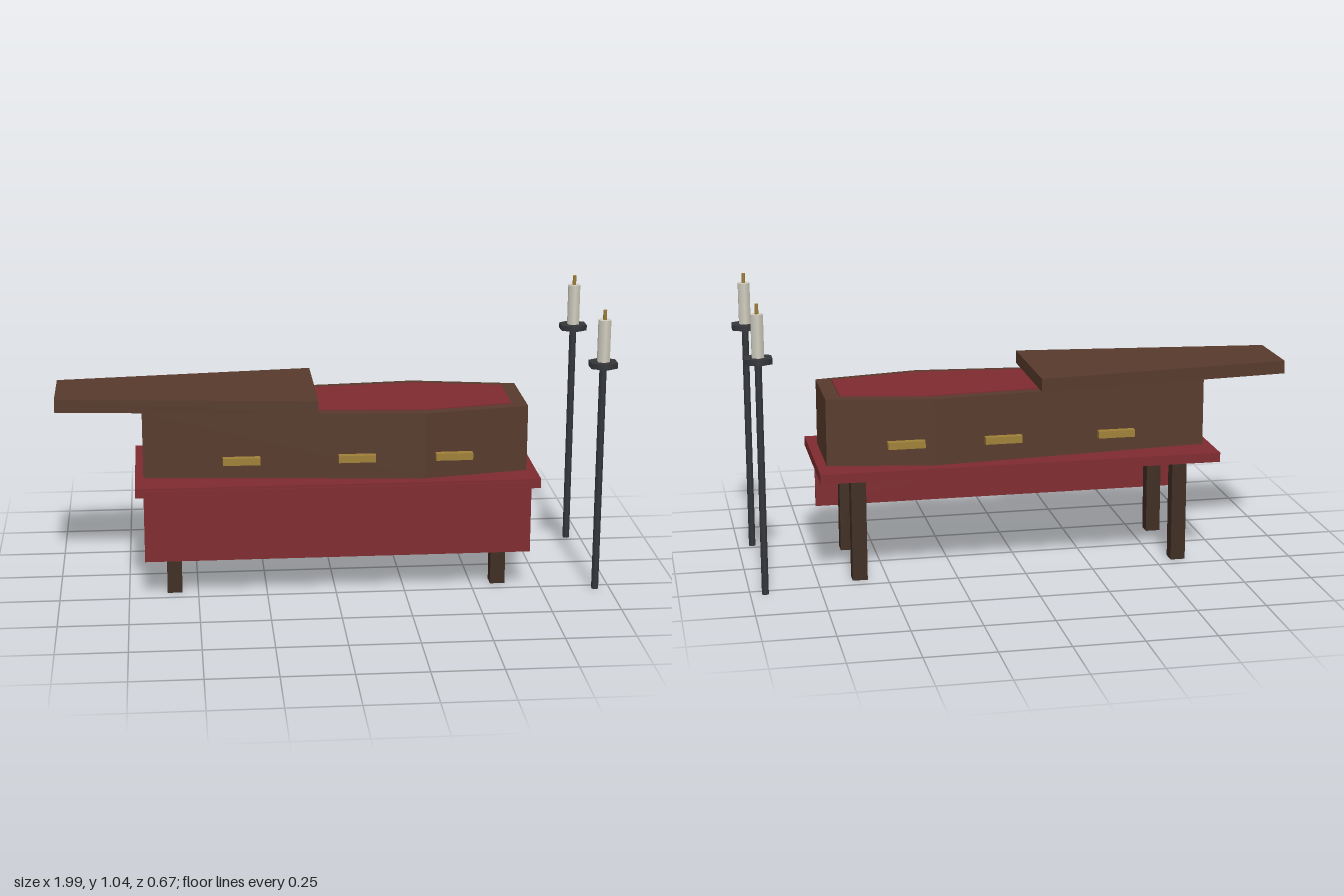
import * as THREE from 'three';

export function createModel() {
  const model = new THREE.Group();
  model.name = 'coffinOnTable';

  const mat = (name, color) => {
    const m = new THREE.MeshStandardMaterial({ color });
    m.name = name;
    return m;
  };
  const wood = mat('coffinWood', 0x573a2c);
  const darkWood = mat('darkWood', 0x3f2d22);
  const red = mat('redCloth', 0x7f2b2f);
  const iron = mat('blackIron', 0x34363b);
  const brass = mat('brass', 0xa08038);
  const wax = mat('wax', 0xd2cec0);

  const add = (name, geometry, material, parent = model) => {
    const mesh = new THREE.Mesh(geometry, material);
    mesh.name = name;
    parent.add(mesh);
    return mesh;
  };

  // Box given by its low and high limits on each axis
  const box = (name, material, [x0, x1], [y0, y1], [z0, z1]) =>
    add(name, new THREE.BoxGeometry(x1 - x0, y1 - y0, z1 - z0), material)
      .position.set((x0 + x1) / 2, (y0 + y1) / 2, (z0 + z1) / 2);

  // Upright slab from a half outline of [x, halfWidth], mirrored in z
  const slab = (name, material, half, y0, y1) => {
    const outline = [...half, ...half.map(([x, z]) => [x, -z]).reverse()];
    const shape = new THREE.Shape(outline.map(([x, z]) => new THREE.Vector2(x, z)));
    const geometry = new THREE.ExtrudeGeometry(shape, { depth: y1 - y0, bevelEnabled: false });
    geometry.rotateX(-Math.PI / 2);
    add(name, geometry, material).position.y = y0;
  };

  // Table with cloth hanging over the front
  box('tableTop', red, [-0.72, 0.74], [0.385, 0.42], [-0.265, 0.263]);
  box('frontCloth', red, [-0.69, 0.705], [0.145, 0.41], [0.26, 0.268]);
  for (const x of [-0.585, 0.599])
    for (const z of [-0.176, 0.176])
      box('tableLeg', darkWood, [x - 0.027, x + 0.027], [0, 0.386], [z - 0.027, z + 0.027]);

  // Coffin, lining and the lid slid towards the foot
  slab('coffinBody', wood, [[-0.69, 0.136], [0.325, 0.223], [0.705, 0.154]], 0.42, 0.664);
  slab('lining', red, [[-0.633, 0.108], [0.33, 0.182], [0.65, 0.122]], 0.6, 0.668);
  slab('lid', wood, [[-1, 0.133], [-0.062, 0.23]], 0.672, 0.72);

  // Handles along both sides
  for (const x of [-0.338, 0.077, 0.428])
    for (const z of [-0.225, 0.225])
      box('handle', brass, [x - 0.067, x + 0.067], [0.49, 0.516], [z - 0.013, z + 0.013]);

  // Two standing candlesticks
  for (const z of [-0.28, 0.28]) {
    const stand = new THREE.Group();
    stand.name = 'candlestick';
    stand.position.set(0.947, 0, z);
    const rod = (name, material, radius, y0, y1) =>
      add(name, new THREE.CylinderGeometry(radius, radius, y1 - y0, 6), material, stand)
        .position.y = (y0 + y1) / 2;
    rod('pole', iron, 0.0135, 0, 0.84);
    rod('dripPan', iron, 0.055, 0.838, 0.858);
    rod('candle', wax, 0.024, 0.858, 1.01);
    rod('wick', brass, 0.007, 1.01, 1.045);
    model.add(stand);
  }
  return model;
}
